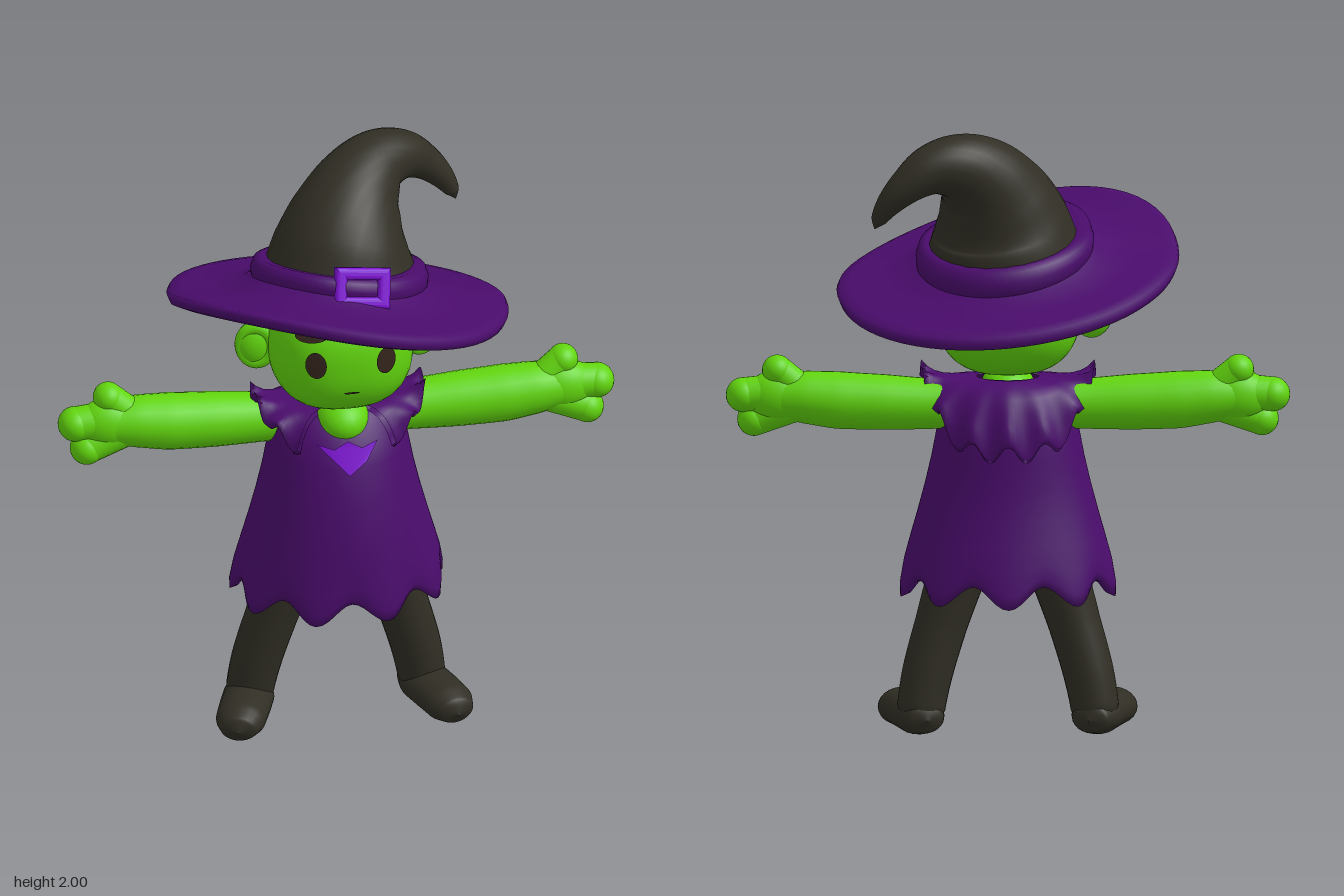
import * as THREE from 'three';

const mat = (name, color, side = THREE.FrontSide) => {
  const m = new THREE.MeshStandardMaterial({ color, side });
  m.name = name;
  return m;
};

// Smooth surface that runs around in u (angle) and along rows in v
function grid(nu, rows, point, wrap = true) {
  const pos = [], idx = [];
  for (let j = 0; j < rows; j++) {
    for (let i = 0; i < nu; i++) {
      const p = point((i / (wrap ? nu : nu - 1)) * Math.PI * 2, j);
      pos.push(p[0], Math.max(0, p[1]), p[2]);
    }
  }
  for (let j = 0; j < rows - 1; j++) {
    for (let i = 0; i < (wrap ? nu : nu - 1); i++) {
      const a = j * nu + i, b = j * nu + (i + 1) % nu, c = a + nu, d = b + nu;
      idx.push(a, b, c, b, d, c);
    }
  }
  const g = new THREE.BufferGeometry();
  g.setAttribute('position', new THREE.Float32BufferAttribute(pos, 3));
  g.setIndex(idx);
  g.computeVertexNormals();
  return g;
}

// Round tube through points [x, y, z, radius]; wide stretches one direction
function limb(pts, ref = new THREE.Vector3(0, 0, 1), wide = 1, rows = 36) {
  const curve = new THREE.CatmullRomCurve3(pts.map(p => new THREE.Vector3(p[0], p[1], p[2])));
  return grid(24, rows, (u, j) => {
    const t = j / (rows - 1), f = t * (pts.length - 1);
    const k = Math.min(Math.floor(f), pts.length - 2);
    const r = THREE.MathUtils.lerp(pts[k][3], pts[k + 1][3], f - k);
    const c = curve.getPoint(t), T = curve.getTangent(t);
    const N = ref.clone().cross(T).normalize(), B = T.clone().cross(N);
    c.addScaledVector(N, r * wide * Math.cos(u)).addScaledVector(B, r * Math.sin(u));
    return c.toArray();
  });
}

// Rounded box-like head and the depth of its face
const HEAD = { y: 1.39, z: 0.03, rx: 0.235, ry: 0.215, rz: 0.24, n: 2.5 };
function headGeometry() {
  const g = new THREE.SphereGeometry(1, 40, 28), p = g.attributes.position;
  for (let i = 0; i < p.count; i++) {
    const v = new THREE.Vector3().fromBufferAttribute(p, i);
    const s = (Math.abs(v.x) ** HEAD.n + Math.abs(v.y) ** HEAD.n + Math.abs(v.z) ** HEAD.n) ** (-1 / HEAD.n);
    p.setXYZ(i, v.x * s * HEAD.rx, v.y * s * HEAD.ry + HEAD.y, v.z * s * HEAD.rz + HEAD.z);
  }
  g.computeVertexNormals();
  return g;
}
const faceZ = (x, y) => HEAD.z + HEAD.rz *
  Math.max(0, 1 - Math.abs(x / HEAD.rx) ** HEAD.n - Math.abs((y - HEAD.y) / HEAD.ry) ** HEAD.n) ** (1 / HEAD.n);

function facePlate(cx, cy, rx, ry, tilt = 0) {
  const g = new THREE.CircleGeometry(1, 24).scale(rx, ry, 1).rotateZ(tilt).translate(cx, cy, 0);
  const p = g.attributes.position;
  for (let i = 0; i < p.count; i++) p.setZ(i, faceZ(p.getX(i), p.getY(i)) + 0.006);
  g.computeVertexNormals();
  return g;
}

// Tilted, gently warped plane of the hat brim
const brimY = (x, z) => 1.51 + 0.26 * z - 0.1 * x - 0.3 * x * Math.max(0, z);
const hatRing = (profile, cx, cz, sx = 1, sz = 1) => grid(64, profile.length, (u, j) => {
  const [r, y] = profile[j], x = cx + sx * r * Math.sin(u), z = cz + sz * r * Math.cos(u);
  return [x, brimY(x, z) + y, z];
});

export function createModel() {
  const root = new THREE.Group();
  const skin = mat('green skin', 0x62d60e);
  const cloth = mat('dark purple cloth', 0x4a0c6c, THREE.DoubleSide);
  const accent = mat('bright purple trim', 0x7d12d2, THREE.DoubleSide);
  const black = mat('charcoal cloth', 0x302e24);
  const ink = mat('dark face detail', 0x33241c);
  const add = (name, geo, m) => {
    const mesh = new THREE.Mesh(geo, m);
    mesh.name = name;
    root.add(mesh);
    return mesh;
  };
  const ball = (name, x, y, z, rx, ry, rz, m) => {
    const mesh = add(name, new THREE.SphereGeometry(1, 24, 18), m);
    mesh.position.set(x, y, z);
    mesh.scale.set(rx, ry, rz);
    return mesh;
  };

  // Head, face and neck
  add('head', headGeometry(), skin);
  add('mouth', facePlate(0, 1.31, 0.026, 0.004), ink);
  ball('neck', 0, 1.118, 0.07, 0.09, 0.08, 0.112, skin);

  for (const s of [1, -1]) {
    const side = s > 0 ? 'left' : 'right';
    add(side + 'Eye', facePlate(s * 0.115, 1.415, 0.033, 0.046), ink);
    add(side + 'Eyebrow', facePlate(s * 0.12, 1.508, 0.055, 0.018, -s * 0.2), ink);

    // Ear: a cup with a raised rim
    ball(side + 'Ear', s * 0.27, 1.375, 0.0, 0.066, 0.08, 0.045, skin);
    const rim = add(side + 'EarRim', new THREE.TorusGeometry(0.054, 0.02, 12, 28), skin);
    rim.position.set(s * 0.27, 1.378, 0.018);
    rim.scale.set(0.95, 1.15, 1);
    rim.rotation.y = s * 0.25;

    // Arm and three-fingered hand
    add(side + 'Arm', limb([[s * 0.1, 1.085, -0.03, 0.078], [s * 0.25, 1.085, -0.03, 0.082],
      [s * 0.4, 1.09, -0.03, 0.09], [s * 0.55, 1.097, -0.03, 0.093], [s * 0.66, 1.107, -0.03, 0.085],
      [s * 0.76, 1.11, -0.03, 0.066], [s * 0.8, 1.11, -0.03, 0.001]]), skin);
    ball(side + 'Palm', s * 0.74, 1.11, -0.03, 0.11, 0.086, 0.072, skin);
    for (const [name, x, y, z, r, bx, by] of [['Thumb', 0.745, 1.198, -0.04, 0.049, 0.66, 1.12],
      ['UpperFinger', 0.855, 1.115, -0.03, 0.056, 0.74, 1.12], ['LowerFinger', 0.82, 1.032, -0.015, 0.054, 0.68, 1.09]]) {
      add(side + name, limb([[s * bx, by, -0.03, r * 1.15], [s * x, y, z, r]], undefined, 1, 6), skin);
      ball(side + name + 'Tip', s * x, y, z, r, r, r * 1.1, skin);
    }

    // Leg and turned-out boot
    add(side + 'Leg', limb([[s * 0.1, 0.72, 0, 0.09], [s * 0.165, 0.52, 0, 0.094], [s * 0.215, 0.36, -0.01, 0.085],
      [s * 0.26, 0.2, -0.025, 0.082], [s * 0.28, 0.09, -0.035, 0.078], [s * 0.285, 0.03, -0.04, 0.06]]), black);
    add(side + 'Boot', limb([[s * 0.26, 0.058, -0.118, 0.001], [s * 0.265, 0.06, -0.1, 0.045],
      [s * 0.285, 0.062, -0.03, 0.064], [s * 0.315, 0.064, 0.06, 0.064], [s * 0.343, 0.062, 0.14, 0.062],
      [s * 0.358, 0.058, 0.19, 0.044], [s * 0.363, 0.055, 0.21, 0.001]], new THREE.Vector3(0, 1, 0), 1.3), black);
  }

  // Dress: inner lining, pointed hem, then body; [y, half width, front, back, hem weight]
  const dress = [[0.7, 0.001, 0.001, 0.001, 0], [0.7, 0.25, 0.24, 0.18, 0], [0.51, 0.315, 0.26, 0.225, 1],
    [0.5, 0.34, 0.29, 0.255, 1], [0.53, 0.343, 0.298, 0.255, 0.8], [0.58, 0.335, 0.295, 0.245, 0.4],
    [0.65, 0.315, 0.288, 0.23, 0.1], [0.73, 0.292, 0.28, 0.213, 0], [0.82, 0.268, 0.265, 0.2, 0],
    [0.91, 0.247, 0.245, 0.195, 0], [1.0, 0.23, 0.217, 0.19, 0], [1.08, 0.215, 0.185, 0.175, 0],
    [1.13, 0.175, 0.135, 0.14, 0], [1.17, 0.1, 0.08, 0.08, 0]];
  add('dress', grid(108, dress.length, (u, j) => {
    const [y, rx, zf, zb, w] = dress[j], c = Math.cos(u), wave = -Math.cos(9 * u);
    const k = 1 + 0.035 * w * wave;
    return [rx * k * Math.sin(u), y - w * (0.035 * wave + 0.018 * (1 - c) / 2), (c > 0 ? zf : zb) * k * c];
  }), cloth);

  // Thick ragged collar: raised over the shoulders, hanging at the back, open at the throat
  add('collar', grid(120, 12, (u, j) => {
    const gap = 0.6, a = gap + u * (1 - gap / Math.PI), under = j < 6;
    const t = (under ? j : 11 - j) / 5, s = Math.sin(a), c = Math.cos(a);
    const wave = Math.cos(14 * a) * t * t, drop = c > 0 ? 1.06 : 0.965;
    const outY = drop + (1.2 - drop) * s ** 4 + 0.028 * wave;
    const y = 1.17 + (outY - 1.17) * t ** 1.6 - (under ? 0.02 : 0);
    const spread = Math.sqrt(t), k = under ? 0.93 : 1;
    const depth = c > 0 ? 0.1 + 0.11 * spread : 0.09 + 0.135 * spread;
    return [(0.1 + 0.185 * spread) * s * k, y, (depth * c + 0.01 * wave * c) * k];
  }, false), cloth);

  // Bright neckline point
  const v = new THREE.Shape([[-0.1, 0.045], [-0.045, 0.025], [0, 0.05], [0.045, 0.025], [0.1, 0.045], [0.06, -0.02], [0, -0.065]]
    .map(p => new THREE.Vector2(p[0], p[1])));
  const vGeo = new THREE.ShapeGeometry(v), vp = vGeo.attributes.position;
  for (let i = 0; i < vp.count; i++) vp.setZ(i, -2 * vp.getX(i) ** 2);
  vGeo.computeVertexNormals();
  const trim = add('necklineTrim', vGeo, accent);
  trim.position.set(0, 1.045, 0.213);
  trim.rotation.x = -0.36;

  // Hat brim, band and bent crown
  add('hatBrim', hatRing([[0.001, -0.03], [0.2, -0.034], [0.3, -0.036], [0.42, -0.036], [0.51, -0.03], [0.537, -0.02],
    [0.545, 0], [0.537, 0.018], [0.5, 0.026], [0.4, 0.03], [0.32, 0.05], [0.26, 0.085]], 0, 0, 1.015, 0.965), cloth);
  add('hatBand', hatRing([[0.265, 0.04], [0.285, 0.065], [0.288, 0.1], [0.278, 0.13], [0.255, 0.142], [0.19, 0.13]],
    0.01, -0.025), cloth);
  add('hatCrown', limb([[0.01, 1.535, -0.022, 0.258], [0.015, 1.61, -0.042, 0.247], [0.025, 1.69, -0.06, 0.22],
    [0.05, 1.77, -0.095, 0.185], [0.095, 1.845, -0.145, 0.145], [0.165, 1.892, -0.2, 0.109], [0.25, 1.89, -0.24, 0.083],
    [0.325, 1.845, -0.265, 0.06], [0.385, 1.785, -0.268, 0.042], [0.42, 1.73, -0.262, 0.025], [0.432, 1.7, -0.258, 0.001]],
  undefined, 1, 60), black);

  // Chunky rounded buckle
  const rect = (C, w, h) => new C([[-w, -h], [w, -h], [w, h], [-w, h]].map(p => new THREE.Vector2(p[0], p[1])));
  const frame = rect(THREE.Shape, 0.077, 0.052);
  frame.holes.push(rect(THREE.Path, 0.065, 0.042));
  const buckle = add('hatBuckle', new THREE.ExtrudeGeometry(frame, {
    depth: 0.018, bevelEnabled: true, bevelThickness: 0.014, bevelSize: 0.015, bevelSegments: 4 }), accent);
  buckle.position.set(0.038, 1.675, 0.23);
  buckle.rotation.set(-0.4, 0.05, -0.1);

  return root;
}
